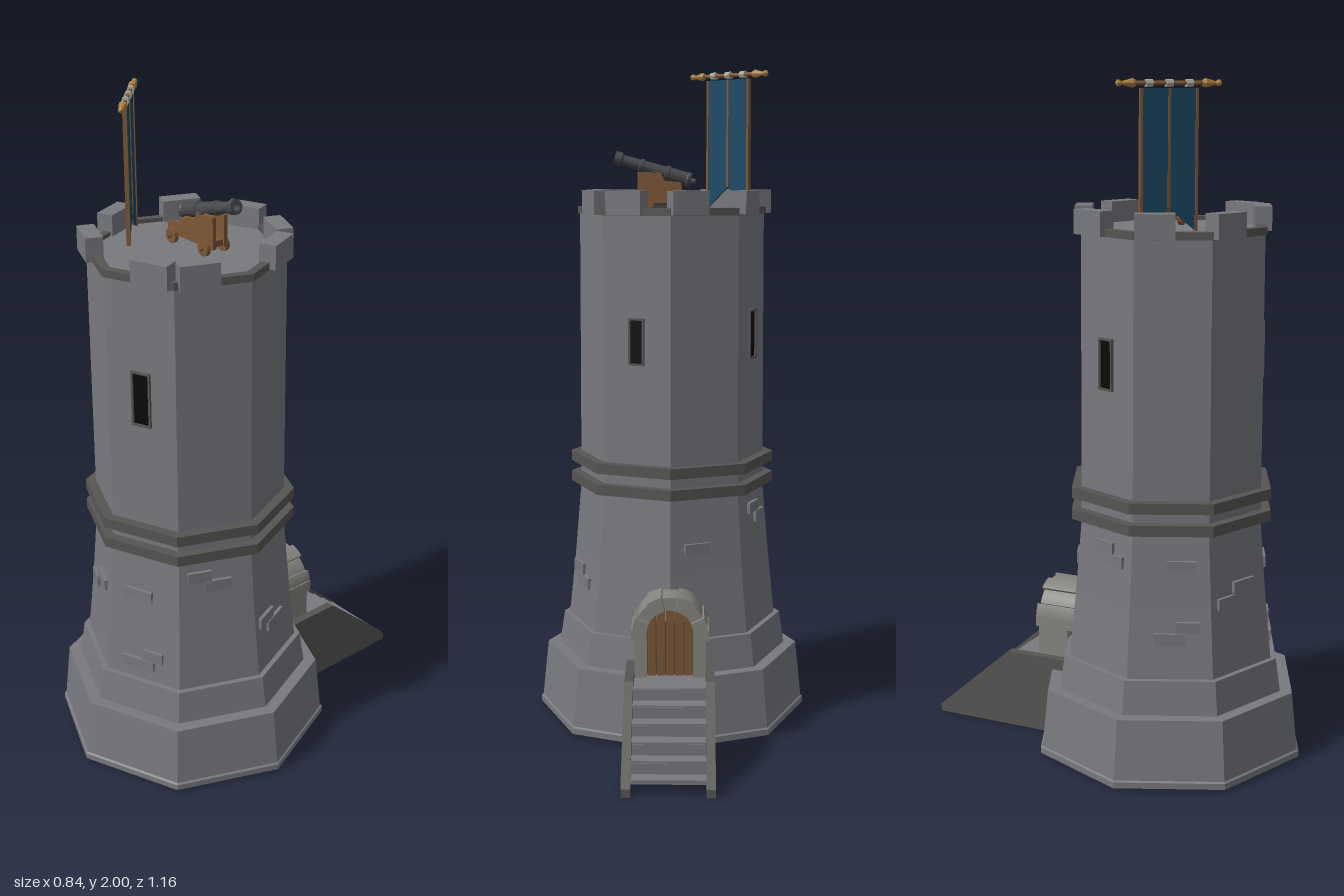
import * as THREE from 'three';

const mat = (color) => new THREE.MeshStandardMaterial({ color, flatShading: true, side: THREE.DoubleSide });
const STONE = mat(0x77797e), DARK = mat(0x555553), PALE = mat(0x84847f), BLACK = mat(0x0a0a0a);
const WOOD = mat(0x7d5736), GOLD = mat(0xa9803f), IRON = mat(0x46484b), CLOTH = mat(0x1d4a66), RINGS = mat(0xaaa79c);
const V2 = (p) => new THREE.Vector2(p[0], p[1]);
const APOTHEM = Math.cos(Math.PI / 8);

function add(parent, name, geo, material, x = 0, y = 0, z = 0) {
  const m = new THREE.Mesh(geo, material);
  m.name = name;
  m.position.set(x, y, z);
  parent.add(m);
  return m;
}
const box = (w, h, d) => new THREE.BoxGeometry(w, h, d);
const octagon = (pts) => new THREE.LatheGeometry(pts.map(V2), 8);
const shapeOf = (pts) => new THREE.Shape(pts.map(V2));
const extrude = (shape, depth) => new THREE.ExtrudeGeometry(shape, { depth, bevelEnabled: false, curveSegments: 8 });

// Tapered wall above the plinth: [corner radius, height]
const WALL = [[0.325, 0.31], [0.305, 0.5], [0.285, 0.73], [0.282, 1.59]];
function wallApothem(y) {
  let i = 0;
  while (i < WALL.length - 2 && y > WALL[i + 1][1]) i++;
  const [a, b] = [WALL[i], WALL[i + 1]];
  return APOTHEM * THREE.MathUtils.mapLinear(y, a[1], b[1], a[0], b[0]);
}

// Sets a mesh against one of the eight tower faces
function onFace(mesh, face, u, dist, y) {
  const t = Math.PI / 8 + face * Math.PI / 4;
  mesh.position.set(Math.sin(t) * dist + Math.cos(t) * u, y, Math.cos(t) * dist - Math.sin(t) * u);
  mesh.rotation.y = t;
}

function makeTower() {
  const g = new THREE.Group();
  g.name = 'tower';
  add(g, 'towerWall', octagon([[0.36, 0.21], [0.375, 0.01], [0.42, 0.01], [0.42, 0.028], [0.414, 0.032],
    [0.395, 0.21], [0.357, 0.21], [0.342, 0.31], ...WALL]), STONE);
  for (const y of [0.735, 0.8]) {
    add(g, 'stringCourse', octagon([[0.28, y], [0.315, y], [0.315, y + 0.032], [0.28, y + 0.032]]), DARK);
  }
  // Roof deck, curb and merlons
  add(g, 'roofDeck', octagon([[0.27, 1.58], [0, 1.58]]), STONE);
  add(g, 'curb', octagon([[0.283, 1.57], [0.288, 1.57], [0.288, 1.592], [0.262, 1.592], [0.262, 1.58]]), DARK);
  [0.045, -0.042, 0.04, -0.033, -0.053, -0.056, -0.05, -0.054].forEach((u, face) => {
    onFace(add(g, 'merlon', box(0.112, 0.07, 0.05), STONE), face, u, 0.26, 1.607);
  });
  // Arrow slits: [face, width, height, y]
  for (const [face, w, h, y] of [[0, 0.06, 0.165, 1.228], [3, 0.05, 0.14, 1.2], [5, 0.055, 0.15, 1.21]]) {
    const a = wallApothem(y);
    onFace(add(g, 'windowOpening', box(w - 0.01, h - 0.01, 0.006), BLACK), face, 0, a, y);
    const frame = shapeOf([[-w / 2, -h / 2], [w / 2, -h / 2], [w / 2, h / 2], [-w / 2, h / 2]]);
    const i = w / 2 - 0.006, j = h / 2 - 0.006;
    frame.holes.push(new THREE.Path([[-i, -j], [-i, j], [i, j], [i, -j]].map(V2)));
    onFace(add(g, 'windowFrame', extrude(frame, 0.01), DARK), face, 0, a - 0.002, y);
  }
  // Proud bricks: [face, offset along face, y, width]
  const bricks = [[0, -0.02, 0.592, 0.09], [0, 0.033, 0.396, 0.066], [0, -0.018, 0.362, 0.112],
    [7, 0.018, 0.56, 0.085], [7, -0.057, 0.523, 0.066], [1, -0.05, 0.675, 0.07], [1, 0.005, 0.642, 0.08],
    [2, -0.055, 0.472, 0.085], [2, -0.003, 0.438, 0.095], [6, 0.03, 0.64, 0.08], [6, 0.05, 0.462, 0.07],
    [6, 0.0, 0.428, 0.09], [5, 0.0, 0.675, 0.075], [5, 0.045, 0.642, 0.07], [4, -0.03, 0.58, 0.08]];
  for (const [face, u, y, w] of bricks) {
    onFace(add(g, 'proudBrick', box(w, 0.034, 0.022), STONE), face, u, wallApothem(y) - 0.002, y);
  }
  return g;
}

function makeStairs() {
  const g = new THREE.Group();
  g.name = 'stairs';
  // Side walls, profile drawn as (distance back, height)
  const side = shapeOf([[0.13, 0], [0.585, 0], [0.585, 0.025], [0.335, 0.245], [0.13, 0.245]]);
  for (const x of [-0.118, 0.118]) {
    add(g, 'stairSideWall', extrude(side, 0.026), DARK, x + 0.013).rotation.y = Math.PI / 2;
  }
  g.children.forEach((m) => { m.position.x -= 0.026; m.rotation.y = Math.PI / 2; m.scale.x = -1; m.scale.z = 1; m.updateMatrix(); });
  g.children.forEach((m) => { m.scale.x = 1; });
  g.children.forEach((m, i) => {
    m.rotation.y = Math.PI / 2;
    m.position.x = (i ? 0.118 : -0.118) - 0.013;
  });
  add(g, 'landing', box(0.212, 0.015, 0.2), STONE, 0, 0.2175, -0.235);
  for (let i = 0; i < 5; i++) {
    const top = 0.19 - i * 0.037, z = -0.335 - i * 0.0455;
    add(g, 'tread', box(0.212, 0.012, 0.0475), STONE, 0, top - 0.006, z - 0.0228);
    add(g, 'riser', box(0.212, 0.037, 0.006), STONE, 0, top + 0.013, z);
  }
  return g;
}

function makeDoorway() {
  const g = new THREE.Group();
  g.name = 'doorway';
  const spring = 0.36, inner = 0.068;
  // Jambs in stacked blocks
  for (const s of [-1, 1]) {
    add(g, 'jambLower', box(0.036, 0.118, 0.1), PALE, s * 0.086, 0.284, -0.19);
    add(g, 'jambUpper', box(0.046, 0.035, 0.13), PALE, s * 0.091, 0.355, -0.18);
  }
  // Arch stones
  const n = 7;
  for (let i = 0; i < n; i++) {
    const a = Math.PI * (i + 0.02) / n, b = Math.PI * (i + 0.98) / n;
    const outer = i % 2 ? 0.106 : 0.111, depth = i % 2 ? 0.132 : 0.14;
    const s = new THREE.Shape();
    s.absarc(0, 0, outer, a, b, false);
    s.absarc(0, 0, inner, b, a, true);
    add(g, 'archStone', extrude(s, depth), PALE, 0, spring, -0.105 - depth);
  }
  // Plank door with rounded top
  const w = inner * 2 / 5;
  for (let i = 0; i < 5; i++) {
    const x0 = -inner + i * w + 0.0015, x1 = x0 + w - 0.003;
    const top = (x) => spring + Math.sqrt(Math.max(0, 0.07 * 0.07 - x * x));
    add(g, 'doorPlank', extrude(shapeOf([[x0, 0.225], [x1, 0.225], [x1, top(x1)], [x0, top(x0)]]), 0.012), WOOD, 0, 0, -0.222);
  }
  add(g, 'doorBacking', box(inner * 2, 0.16, 0.01), IRON, 0, 0.305, -0.205);
  return g;
}

function makeCannon() {
  const g = new THREE.Group();
  g.name = 'cannon';
  // Stepped carriage cheeks
  const cheek = shapeOf([[-0.1, 0.022], [0.1, 0.022], [0.1, 0.115], [0.03, 0.115], [0.02, 0.09],
    [-0.03, 0.085], [-0.035, 0.062], [-0.1, 0.055]]);
  for (const z of [-0.026, 0.014]) add(g, 'carriageCheek', extrude(cheek, 0.012), WOOD, 0, 0, z);
  add(g, 'carriageBed', box(0.19, 0.018, 0.042), WOOD, 0, 0.035, 0);
  for (const x of [-0.07, 0.072]) {
    add(g, 'axle', new THREE.CylinderGeometry(0.005, 0.005, 0.105, 8), WOOD, x, 0.021, 0).rotation.x = Math.PI / 2;
    for (const z of [-0.034, 0.034]) {
      add(g, 'wheel', new THREE.CylinderGeometry(0.022, 0.022, 0.012, 12), WOOD, x, 0.022, z).rotation.x = Math.PI / 2;
    }
  }
  // Barrel with reinforcing rings and hollow muzzle
  const profile = [[0, -0.014], [0.008, -0.012], [0.009, -0.004], [0.006, 0], [0.022, 0.004], [0.024, 0.012],
    [0.021, 0.016], [0.021, 0.07], [0.024, 0.072], [0.024, 0.082], [0.019, 0.084], [0.018, 0.15], [0.021, 0.152],
    [0.021, 0.162], [0.017, 0.164], [0.016, 0.215], [0.021, 0.222], [0.021, 0.242], [0.011, 0.242], [0.011, 0.18], [0, 0.18]];
  add(g, 'barrel', new THREE.LatheGeometry(profile.map(V2), 14), IRON, -0.063, 0.09, 0).rotation.z = -Math.PI / 2 + 0.29;
  add(g, 'trunnion', new THREE.CylinderGeometry(0.007, 0.007, 0.06, 8), IRON, 0.05, 0.118, 0).rotation.x = Math.PI / 2;
  g.position.set(0.003, 1.58, 0.122);
  return g;
}

function makeBanner() {
  const g = new THREE.Group();
  g.name = 'banner';
  const w = 0.083, top = 1.975, tail = 1.585, notch = 1.65;
  add(g, 'cloth', extrude(shapeOf([[-w, top], [-w, tail], [0, notch], [w, tail], [w, top]]), 0.006), CLOTH, 0, 0, -0.003);
  // Edge and centre trim
  for (const s of [-1, 1]) {
    add(g, 'edgeTrim', box(0.008, top - tail, 0.012), WOOD, s * w, (top + tail) / 2, 0);
  }
  add(g, 'centreTrim', box(0.008, top - notch, 0.01), WOOD, 0, (top + notch) / 2, 0);
  // Rod, rings and finials
  add(g, 'rod', new THREE.CylinderGeometry(0.006, 0.006, 0.24, 8), WOOD, 0, 1.988, 0).rotation.z = Math.PI / 2;
  for (const x of [-0.06, 0, 0.06]) {
    add(g, 'rodRing', new THREE.CylinderGeometry(0.011, 0.011, 0.02, 8), RINGS, x, 1.988, 0).rotation.z = Math.PI / 2;
  }
  const finial = [[0, 0], [0.009, 0.002], [0.013, 0.01], [0.005, 0.042], [0.009, 0.048], [0.009, 0.055], [0, 0.061]];
  for (const s of [-1, 1]) {
    add(g, 'finial', new THREE.LatheGeometry(finial.map(V2), 8), GOLD, s * 0.098, 1.988, 0).rotation.z = -s * Math.PI / 2;
  }
  g.position.set(-0.173, 0, 0.217);
  g.rotation.y = -0.76;
  return g;
}

export function createModel() {
  const model = new THREE.Group();
  model.name = 'cannonTower';
  const tower = makeTower();
  tower.position.z = 0.16;
  model.add(tower, makeStairs(), makeDoorway(), makeCannon(), makeBanner());
  return model;
}
